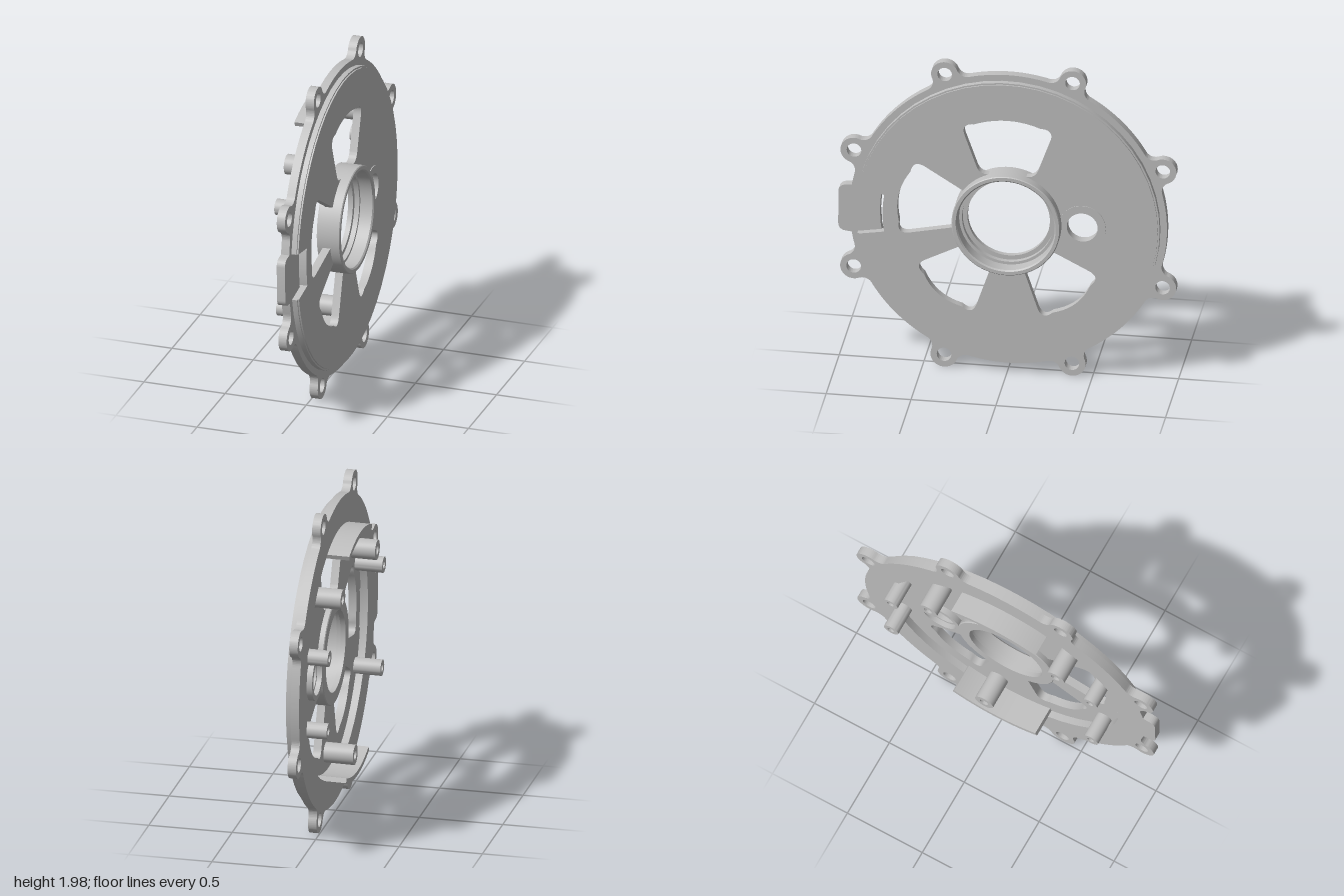
import * as THREE from 'three';
import { toCreasedNormals } from 'three/addons/utils/BufferGeometryUtils.js';

// Everything is drawn in the cover's own plane (X, Y) with Z as its axis,
// then the whole assembly is turned so the axis points along +x.
const metal = new THREE.MeshStandardMaterial({ color: 0xbfbfbf });
metal.name = 'grey metal';

const polar = (r, a) => new THREE.Vector2(r * Math.cos(a), r * Math.sin(a));

function addMesh(parent, geometry, name) {
  const mesh = new THREE.Mesh(toCreasedNormals(geometry, 0.5), metal);
  mesh.name = name;
  parent.add(mesh);
  return mesh;
}

function extrude(parent, name, shape, z0, z1) {
  const g = new THREE.ExtrudeGeometry(shape, { depth: z1 - z0, bevelEnabled: false, curveSegments: 24 });
  g.translate(0, 0, z0);
  return addMesh(parent, g, name);
}

// Turned part: closed profile of [radius, z], outer side going towards +z
function turned(parent, name, profile, x = 0, y = 0, segments = 48) {
  const pts = profile.map(([r, z]) => new THREE.Vector2(r, z));
  const g = new THREE.LatheGeometry(pts, segments);
  g.rotateX(Math.PI / 2);
  g.translate(x, y, 0);
  return addMesh(parent, g, name);
}

function circle(x, y, r) {
  return new THREE.Path().absarc(x, y, r, 0, Math.PI * 2, false);
}

// Window with rounded corners: outer, outer, inner, inner; bulged outer edge,
// inner edge kept clear of the hub
function windowPath(corners) {
  const c = corners.map(([x, y]) => new THREE.Vector2(x, y));
  const near = (a, b, t) => a.clone().add(b.clone().sub(a).setLength(t));
  const path = new THREE.Path();
  c.forEach((p, i) => {
    const prev = c[(i + 3) % 4], next = c[(i + 1) % 4];
    const t = i < 2 ? 0.085 : 0.05;
    const a = near(p, prev, t), b = near(p, next, t);
    if (i === 0) path.moveTo(a.x, a.y);
    else if (i === 1) {
      const m = c[0].clone().add(c[1]).multiplyScalar(0.5 * 1.12);
      path.quadraticCurveTo(m.x, m.y, a.x, a.y);
    } else path.lineTo(a.x, a.y);
    path.quadraticCurveTo(p.x, p.y, b.x, b.y);
    if (i === 2) {
      // follow the hub between the two inner corners
      const e = near(c[3], c[2], 0.05);
      for (let k = 1; k < 8; k++) {
        const q = b.clone().lerp(e, k / 8);
        path.lineTo(q.x, q.y);
      }
    }
  });
  const pts = path.getPoints(10).map((p) => (p.length() < 0.308 ? p.setLength(0.308) : p));
  return new THREE.Path(pts);
}

// Disc outline with the sensor notch cut in at angle PI
function notchedDisc(r) {
  const h = 0.163;
  const s = new THREE.Shape();
  s.absarc(0, 0, r, -Math.PI + h, Math.PI - h, false);
  s.absarc(0, 0, 0.735, Math.PI - h, Math.PI + h, false);
  s.closePath();
  return s;
}

// Flange outline: disc with eight filleted lugs and a rounded tab
function flangeShape() {
  const R = 0.935, d = 0.985, r = 0.08, f = 0.06;
  const delta = Math.acos(((R + f) ** 2 + d * d - (r + f) ** 2) / (2 * (R + f) * d));
  const s = new THREE.Shape();
  let from = -Math.PI + 0.165;
  for (let i = 0; i < 8; i++) {
    const a = -Math.PI + Math.PI / 8 + (i * Math.PI) / 4;
    const lug = polar(d, a);
    const f1 = polar(R + f, a - delta), f2 = polar(R + f, a + delta);
    const a1 = f1.clone().sub(lug).angle(), a2 = f2.clone().sub(lug).angle();
    s.absarc(0, 0, R, from, a - delta, false);
    s.absarc(f1.x, f1.y, f, a - delta + Math.PI, a1 + Math.PI, true);
    s.absarc(lug.x, lug.y, r, a1, a2, false);
    s.absarc(f2.x, f2.y, f, a2 + Math.PI, a + delta + Math.PI, true);
    from = a + delta;
    s.holes.push(circle(lug.x, lug.y, 0.043));
  }
  s.absarc(0, 0, R, from, Math.PI - 0.165, false);
  s.lineTo(-0.955, 0.15);
  s.quadraticCurveTo(-1.002, 0.145, -1.002, 0.1);
  s.lineTo(-1.002, -0.1);
  s.quadraticCurveTo(-1.002, -0.145, -0.955, -0.15);
  s.closePath();
  s.holes.push(circle(0, 0, 0.757));
  return s;
}

export function createModel() {
  const model = new THREE.Group();
  model.name = 'roundCover';
  const tilt = new THREE.Group();
  tilt.name = 'tiltedAssembly';
  tilt.position.set(0, 0.995, -0.003);
  tilt.rotation.z = 0.0135;
  model.add(tilt);
  const cover = new THREE.Group();
  cover.name = 'coverAssembly';
  cover.rotation.y = Math.PI / 2;
  tilt.add(cover);

  extrude(cover, 'lugFlange', flangeShape(), -0.008, 0.043);

  // Raised face with four windows, hub opening and side opening
  const face = notchedDisc(0.887);
  const low = [[0.555, -0.32], [0.205, -0.625], [0.085, -0.27], [0.25, -0.165]];
  face.holes.push(
    circle(0, 0, 0.3),
    circle(0.4425, 0, 0.115),
    windowPath([[0.28, 0.62], [-0.28, 0.62], [-0.165, 0.3], [0.165, 0.3]]),
    windowPath([[-0.555, 0.365], [-0.655, -0.13], [-0.27, -0.05], [-0.24, 0.17]]),
    windowPath(low),
    windowPath(low.map(([x, y]) => [-x, y]))
  );
  extrude(cover, 'raisedFace', face, 0.035, 0.0825);

  // Shoulder just below the face edge
  const shoulder = notchedDisc(0.897);
  shoulder.holes.push(circle(0, 0, 0.7));
  extrude(cover, 'faceShoulder', shoulder, 0.036, 0.074);

  // Stepped bearing hub
  turned(cover, 'bearingHub', [
    [0.315, 0], [0.32, 0.005], [0.32, 0.138], [0.315, 0.143], [0.295, 0.143], [0.287, 0.135],
    [0.287, 0.06], [0.27, 0.06], [0.27, 0.03], [0.243, 0.03], [0.243, 0], [0.315, 0]
  ], 0, 0, 96);

  // Side opening collar
  turned(cover, 'sideCollar', [
    [0.139, 0], [0.139, 0.087], [0.091, 0.087], [0.091, 0.03], [0.108, 0.03], [0.108, 0], [0.139, 0]
  ], 0.4425, 0);

  // Curved walls behind the face, top and bottom
  for (const [name, mid] of [['upperWall', Math.PI / 2], ['lowerWall', -Math.PI / 2]]) {
    const h = 0.38;
    const wall = new THREE.Shape();
    wall.absarc(0, 0, 0.759, mid - h, mid + h, false);
    wall.absarc(0, 0, 0.73, mid + h, mid - h, true);
    wall.closePath();
    extrude(cover, name, wall, -0.14, 0.04);
  }

  // Rear standoffs with blind screw holes: x, y, radius, hole radius, tip
  const standoffs = [
    [-0.414, 0.495, 0.06, 0.028, -0.142], [0.436, 0.495, 0.06, 0.028, -0.142], [0.07, -0.605, 0.06, 0.028, -0.142],
    [-0.637, 0.32, 0.048, 0.022, -0.13], [-0.637, -0.322, 0.048, 0.022, -0.128],
    [0.696, 0.22, 0.048, 0.022, -0.129], [0.696, -0.233, 0.048, 0.022, -0.129]
  ];
  standoffs.forEach(([x, y, r, hole, tip], i) => {
    turned(cover, 'standoff' + (i + 1),
      [[0, -0.06], [hole, -0.06], [hole, tip], [r, tip], [r, 0.04], [0, 0.04]], x, y, 32);
  });

  return model;
}
